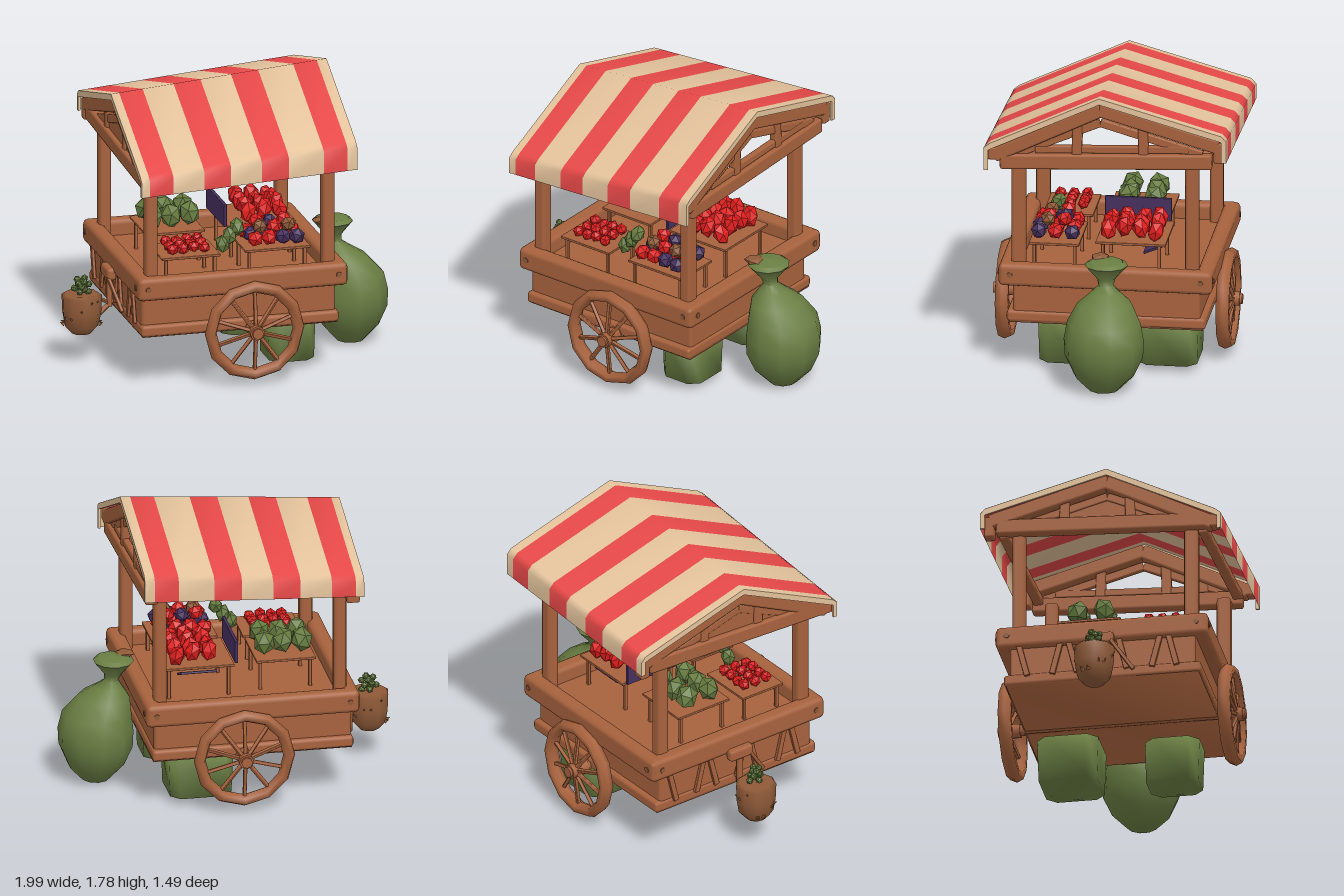
import * as THREE from 'three';
import { RoundedBoxGeometry } from 'three/addons/geometries/RoundedBoxGeometry.js';
import { toCreasedNormals } from 'three/addons/utils/BufferGeometryUtils.js';

const mat = (name, color) => Object.assign(new THREE.MeshStandardMaterial({ color }), { name });
const V = (x, y, z) => new THREE.Vector3(x, y, z);
const Z = V(0, 0, 1);

export function createModel() {
  const wood = mat('wood', 0xa7623d), cream = mat('cream cloth', 0xe4c39c), red = mat('red cloth', 0xe64848);
  const green = mat('sack green', 0x6a7e43), scarlet = mat('produce red', 0xe01e1e), purple = mat('produce purple', 0x47305f);
  const leaf = mat('leaf green', 0x667c40), earth = mat('clay brown', 0x8f5a38);
  cream.side = red.side = THREE.DoubleSide;

  const root = new THREE.Group();
  root.name = 'marketCart';
  const group = (name, parent = root) => {
    const g = new THREE.Group();
    g.name = name;
    parent.add(g);
    return g;
  };
  const add = (name, geo, material, parent = root) => {
    const m = new THREE.Mesh(geo, material);
    m.name = name;
    parent.add(m);
    return m;
  };
  // axis-aligned softened block given by its extents
  const block = (name, x0, x1, y0, y1, z0, z1, parent, r = 0.02, material = wood) => {
    const m = add(name, new RoundedBoxGeometry(x1 - x0, y1 - y0, z1 - z0, 1, r), material, parent);
    m.position.set((x0 + x1) / 2, (y0 + y1) / 2, (z0 + z1) / 2);
    return m;
  };
  // beam running between two points, w wide and h high
  const beam = (name, a, b, w, h, parent) => {
    const m = add(name, new RoundedBoxGeometry(w, h, a.distanceTo(b), 1, Math.min(w, h) * 0.2), wood, parent);
    m.position.copy(a).add(b).multiplyScalar(0.5);
    m.quaternion.setFromUnitVectors(Z, b.clone().sub(a).normalize());
  };
  const outline = pts => new THREE.Shape(pts.map(([x, y]) => new THREE.Vector2(x, y)));
  let seed = 7;
  const rnd = () => (seed = (seed * 16807) % 2147483647) / 2147483647;

  // cart body
  const bed = group('bed');
  block('bedBox', -0.66, 0.53, 0.345, 0.6, -0.56, 0.56, bed);
  const floor = add('floorPlate', toCreasedNormals(new THREE.BoxGeometry(1.2, 0.04, 1.16), Math.PI), wood, bed);
  floor.position.set(-0.06, 0.338, 0);
  for (const s of [-1, 1]) {
    const z = s * 0.59;
    block('topRail', -0.7, 0.59, 0.555, 0.695, z - 0.05, z + 0.05, bed, 0.03);
    block('bottomRail', -0.67, 0.545, 0.32, 0.39, s * 0.56 - 0.035, s * 0.56 + 0.035, bed);
    const x = s > 0 ? 0.54 : -0.65;
    block('endTopRail', x - 0.05, x + 0.05, 0.555, 0.695, -0.64, 0.64, bed, 0.03);
    const xb = s > 0 ? 0.51 : -0.635;
    block('endBottomRail', xb - 0.035, xb + 0.035, 0.32, 0.39, -0.595, 0.595, bed);
    for (const zz of [-0.57, 0.57]) {
      const peg = add('peg', new THREE.CylinderGeometry(0.018, 0.018, 0.012, 6).rotateZ(Math.PI / 2), earth, bed);
      peg.position.set(s > 0 ? 0.59 : -0.7, 0.63, zz);
      const facePeg = add('peg', new THREE.CylinderGeometry(0.018, 0.018, 0.012, 6).rotateX(Math.PI / 2), earth, bed);
      facePeg.position.set(s > 0 ? 0.53 : -0.64, 0.63, Math.sign(zz) * 0.64);
    }
  }
  // slats on the left-hand end
  for (let i = 0; i < 7; i++) {
    const z = -0.45 + i * 0.15;
    beam('endSlat', V(-0.675, 0.37, z), V(-0.675, 0.57, z + (i % 2 ? 0.05 : -0.05)), 0.02, 0.035, bed);
  }

  // wheels, with spokes dished out toward the hub
  for (const s of [-1, 1]) {
    const w = group('wheel');
    w.position.set(0.005, 0.335, s * 0.66);
    add('rim', new THREE.TorusGeometry(0.27, 0.036, 6, 12).scale(1, 1, 1.25), wood, w);
    const hub = add('hub', new THREE.CylinderGeometry(0.045, 0.045, 0.12, 8).rotateX(Math.PI / 2), wood, w);
    hub.position.z = s * 0.01;
    const cap = add('hubCap', new THREE.CylinderGeometry(0.034, 0.034, 0.16, 8).rotateX(Math.PI / 2), wood, w);
    cap.position.z = s * 0.005;
    for (let i = 0; i < 10; i++) {
      const a = (i + 0.5) * Math.PI / 5, c = Math.cos(a), n = Math.sin(a);
      beam('spoke', V(c * 0.03, n * 0.03, s * 0.03), V(c * 0.26, n * 0.26, 0), 0.022, 0.022, w);
    }
  }
  const axle = add('axle', new THREE.CylinderGeometry(0.03, 0.03, 1.28, 8).rotateX(Math.PI / 2), wood);
  axle.position.y = 0.34;

  // posts and roof frame; the whole roof climbs toward +x
  const lift = x => 0.083 * (x - 0.62);
  const frame = group('roofFrame');
  for (const x of [-0.598, 0.488]) {
    block('post', x - 0.038, x + 0.038, 0.58, 1.33 + lift(x) * 0.5, 0.485, 0.57, frame);
    block('post', x - 0.038, x + 0.038, 0.58, 1.38 + lift(x) * 0.5, -0.55, -0.47, frame);
  }
  for (const x of [-0.645, 0.56]) {
    const p = (y, z) => V(x, y + lift(x), z);
    const low = -lift(x) * 0.6;
    beam('tieBeam', p(1.345 + low, 0.63), p(1.4 + low, -0.64), 0.08, 0.095, frame);
    beam('upperTie', p(1.43, 0.42), p(1.47, -0.5), 0.04, 0.045, frame);
    beam('rafter', p(1.385, 0.67), p(1.705, 0.02), 0.08, 0.09, frame);
    beam('rafter', p(1.5, -0.68), p(1.705, 0.04), 0.08, 0.09, frame);
    beam('innerRafter', p(1.39, 0.55), p(1.615, 0.03), 0.035, 0.05, frame);
    beam('innerRafter', p(1.44, -0.58), p(1.615, 0.03), 0.035, 0.05, frame);
    beam('rafterEnd', p(1.36, 0.67), p(1.44, 0.67), 0.08, 0.06, frame);
    beam('rafterEnd', p(1.4, -0.68), p(1.53, -0.68), 0.08, 0.06, frame);
    beam('kingPost', p(1.4, 0.17), p(1.62, 0.165), 0.05, 0.06, frame);
    beam('kingPost', p(1.42, -0.23), p(1.62, -0.225), 0.05, 0.06, frame);
  }
  for (const [y, z] of [[1.37, 0.6], [1.43, -0.6]])
    beam('eaveBeam', V(-0.64, y + lift(-0.64), z), V(0.56, y + lift(0.56), z), 0.06, 0.06, frame);
  // boarded gable at the lower end
  const gable = new THREE.ExtrudeGeometry(outline([[-0.55, 1.4], [0.58, 1.45], [-0.03, 1.63]]), { depth: 0.02, bevelEnabled: false });
  add('gableBoard', gable.rotateY(Math.PI / 2).translate(-0.655, lift(-0.645), 0), wood, frame);

  // striped canopy: one folded sheet per stripe, with cream edge trims
  const canopy = group('canopy');
  const sheet = [[-0.73, 1.41], [-0.73, 1.545], [-0.7, 1.578], [0.03, 1.78], [0.685, 1.468], [0.72, 1.44], [0.72, 1.3]];
  const slope = geo => {
    const pos = geo.attributes.position;
    for (let k = 0; k < pos.count; k++) {
      const y = pos.getY(k);
      pos.setY(k, y + lift(pos.getX(k)) * (y < 1.42 ? 0.62 : 1));
    }
    return geo;
  };
  const edges = [-0.705, -0.655, -0.51, -0.32, -0.155, 0.033, 0.2, 0.415, 0.56, 0.62];
  for (let i = 0; i < edges.length - 1; i++) {
    const geo = new THREE.PlaneGeometry(1, 1, 1, sheet.length - 1);
    sheet.forEach(([z, y], r) => {
      geo.attributes.position.setXYZ(r * 2, edges[i], y, z);
      geo.attributes.position.setXYZ(r * 2 + 1, edges[i + 1], y, z);
    });
    slope(geo).computeVertexNormals();
    add(i % 2 ? 'redStripe' : 'creamStripe', geo, i % 2 ? red : cream, canopy);
  }
  const inner = [[0.695, 1.3], [0.695, 1.425], [0.03, 1.742], [-0.7, 1.54], [-0.7, 1.41]];
  const hem = outline([...sheet, ...inner].map(([z, y]) => [-z, y]));
  for (const x of [-0.705, 0.605]) {
    const trim = new THREE.ExtrudeGeometry(hem, { depth: 0.015, bevelEnabled: false });
    add('edgeTrim', slope(trim.rotateY(Math.PI / 2).translate(x, -0.001, 0)), cream, canopy);
  }

  // display trays on thin legs, heaped with produce
  const gem = (name, material, parent, x, y, z, r, sy = 1) => {
    const m = add(name, new THREE.IcosahedronGeometry(r, 0), material, parent);
    m.scale.y = sy;
    m.position.set(x, y, z);
    m.rotation.set(rnd() - 0.5, rnd() * 6, rnd() - 0.5);
  };
  const tray = (name, x, z, w, d, y) => {
    const g = group(name);
    block('trayBoard', x - w / 2, x + w / 2, y - 0.012, y + 0.004, z - d / 2, z + d / 2, g, 0.004);
    for (const s of [-1, 1]) for (const t of [-1, 1]) {
      const lx = x + s * (w / 2 - 0.03), lz = z + t * d * 0.4;
      block('trayLeg', lx - 0.01, lx + 0.01, 0.59, y, lz - 0.01, lz + 0.01, g, 0.003);
    }
    return g;
  };
  const heap = (name, g, mats, x, z, w, d, y, nx, nz, r, sy) => {
    for (let i = 0; i < nx; i++) for (let j = 0; j < nz; j++)
      gem(name, mats[(i * 2 + j) % mats.length], g,
        x + ((i + 0.5) / nx - 0.5) * w, y + r * sy * (0.8 + rnd() * 0.35), z + ((j + 0.5) / nz - 0.5) * d, r, sy);
  };
  const mixed = tray('mixedTray', 0.2, 0.33, 0.4, 0.3, 0.77);
  heap('mixedProduce', mixed, [scarlet, purple, scarlet, purple, scarlet], 0.2, 0.33, 0.34, 0.3, 0.775, 4, 3, 0.05, 1);
  heap('mixedProduce', mixed, [scarlet, earth, purple, scarlet], 0.2, 0.33, 0.26, 0.2, 0.84, 3, 2, 0.046, 1);
  const peppers = tray('pepperTray', 0.21, -0.13, 0.42, 0.42, 0.8);
  heap('pepper', peppers, [scarlet], 0.24, -0.13, 0.29, 0.38, 0.8, 3, 4, 0.05, 1.4);
  block('eggplantBox', -0.025, -0.005, 0.8, 0.94, -0.32, 0.08, peppers, 0.004, purple);
  const lowBox = block('fallenEggplants', 0.1, 0.32, 0.725, 0.74, -0.31, -0.19, peppers, 0.004, purple);
  lowBox.rotation.x = 0.4;
  const tomatoes = tray('tomatoTray', -0.33, 0.32, 0.36, 0.3, 0.76);
  heap('tomato', tomatoes, [scarlet], -0.33, 0.32, 0.26, 0.24, 0.762, 4, 3, 0.036, 1);
  const squash = tray('squashTray', -0.32, -0.11, 0.36, 0.38, 0.79);
  heap('squash', squash, [leaf], -0.32, -0.11, 0.34, 0.32, 0.79, 3, 2, 0.066, 1.2);
  for (let i = 0; i < 3; i++) gem('looseSquash', leaf, mixed, -0.11 + i * 0.045, 0.79 + i * 0.05, 0.36, 0.045, 1.3);

  // big tied sack, leaning toward the cart at the neck
  const sack = group('bigSack');
  sack.position.z = -0.02;
  const profile = [[0, 0], [0.09, 0.01], [0.18, 0.1], [0.235, 0.22], [0.24, 0.32], [0.22, 0.43], [0.165, 0.53],
    [0.09, 0.59], [0.045, 0.63], [0.055, 0.67], [0.13, 0.755], [0.1, 0.775]];
  const sackGeo = new THREE.LatheGeometry(profile.map(([r, y]) => new THREE.Vector2(r, y)), 10);
  const sp = sackGeo.attributes.position;
  const lean = y => 0.778 - 0.108 * THREE.MathUtils.smoothstep(y, 0.38, 0.7);
  for (let k = 0; k < sp.count; k++) sp.setX(k, sp.getX(k) * 0.94 + lean(sp.getY(k)));
  add('sackBody', toCreasedNormals(sackGeo, 1.2), green, sack);
  const mouth = add('sackMouth', new THREE.ConeGeometry(0.1, 0.015, 10), green, sack);
  mouth.position.set(0.67, 0.78, 0);
  const fold = add('sackFold', new THREE.IcosahedronGeometry(0.055, 0), earth, sack);
  fold.scale.set(1.15, 0.4, 1.1);
  fold.position.set(0.595, 0.775, 0.045);

  // small soft sacks under the bed, slightly flared with cut corners
  for (const [x, z, w, d] of [[0.315, 0.26, 0.29, 0.33], [0.23, -0.345, 0.39, 0.37]]) {
    const cx = w / 2, cz = d / 2, c = 0.06;
    const plan = outline([[cx - c, -cz], [cx, c - cz], [cx, cz - c], [cx - c, cz], [c - cx, cz], [-cx, cz - c],
      [-cx, c - cz], [c - cx, -cz]]);
    const geo = new THREE.ExtrudeGeometry(plan, { depth: 0.26, bevelEnabled: false }).rotateX(-Math.PI / 2);
    const p = geo.attributes.position;
    for (let k = 0; k < p.count; k++) if (p.getY(k) < 0.1) p.setXYZ(k, p.getX(k) * 0.95, p.getY(k), p.getZ(k) * 0.95);
    add('underSack', toCreasedNormals(geo, 1.8), green).position.set(x, 0.04, z);
  }

  // hanging plant pot and its bracket
  const pot = group('plantPot');
  pot.position.set(-0.875, 0, -0.01);
  const potProfile = [[0, 0.185], [0.06, 0.19], [0.105, 0.24], [0.118, 0.32], [0.122, 0.42], [0.1, 0.435], [0, 0.425]];
  add('potBody', new THREE.LatheGeometry(potProfile.map(([r, y]) => new THREE.Vector2(r, y)), 9), earth, pot);
  for (let i = 0; i < 14; i++) {
    const a = i * 2.4, y = 0.25 + (i % 4) * 0.05;
    const spike = add('potSplinter', new THREE.ConeGeometry(0.015, 0.03, 4).rotateX(Math.PI / 2), earth, pot);
    spike.position.set(Math.cos(a) * 0.115, y, Math.sin(a) * 0.115);
    spike.quaternion.setFromUnitVectors(Z, V(Math.cos(a), 0.5, Math.sin(a)).normalize());
  }
  for (let i = 0; i < 14; i++) {
    const a = i * 2.4, r = 0.045 * (0.4 + rnd() * 0.6);
    gem('leafBud', leaf, pot, Math.cos(a) * r, 0.44 + i * 0.0065, Math.sin(a) * r, 0.022);
  }
  const bracket = group('potBracket');
  block('bracketRail', -0.74, -0.68, 0.52, 0.595, -0.09, 0.08, bracket);
  block('bracketPost', -0.72, -0.69, 0.34, 0.55, -0.02, 0.015, bracket, 0.008);
  beam('bracketArm', V(-0.77, 0.3, 0), V(-0.67, 0.39, 0), 0.025, 0.025, bracket);
  beam('bracketBrace', V(-0.73, 0.54, 0.06), V(-0.68, 0.36, 0.19), 0.022, 0.022, bracket);
  beam('bracketLink', V(-0.78, 0.4, 0), V(-0.7, 0.36, 0), 0.018, 0.018, bracket);

  return root;
}
